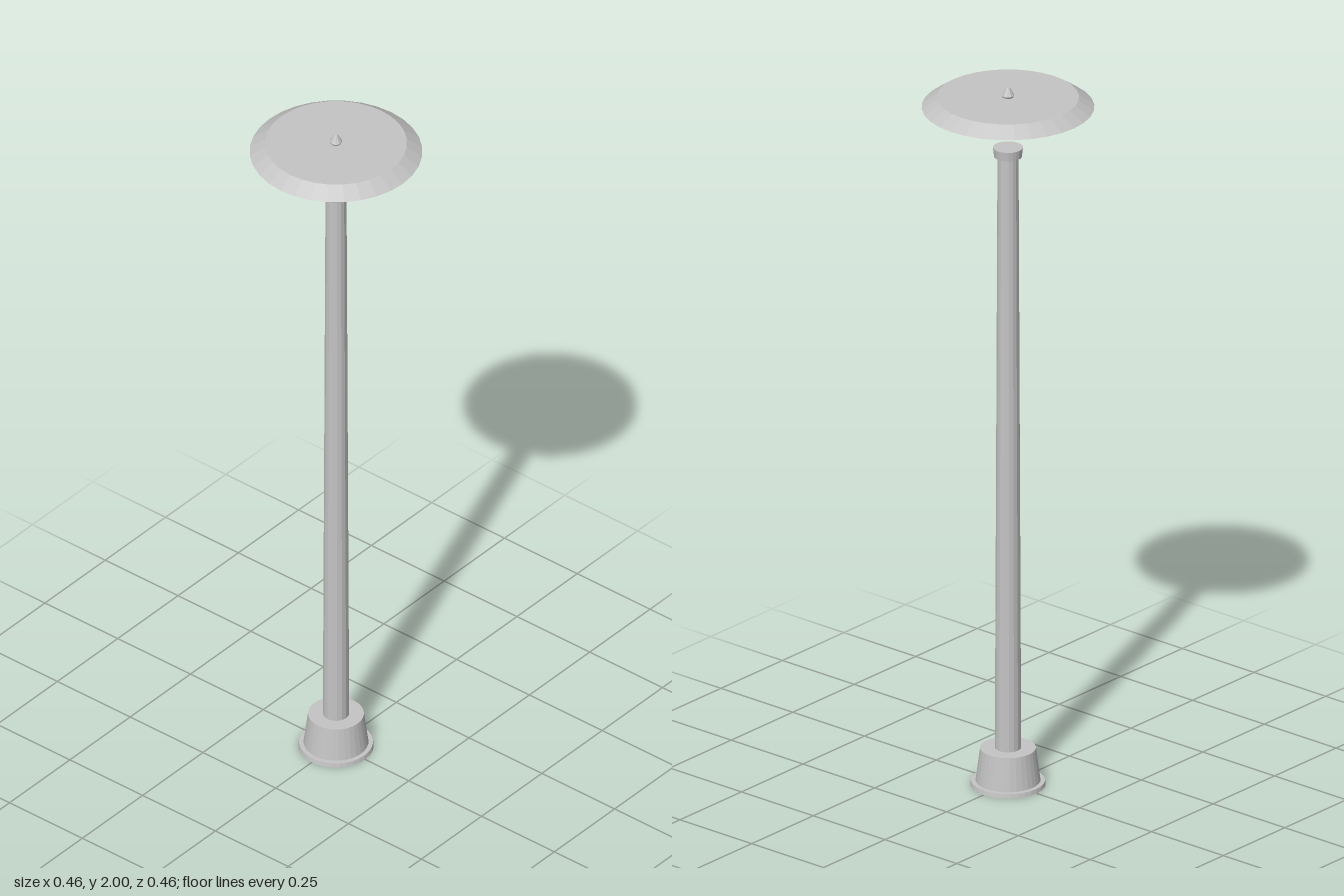
import * as THREE from 'three';

export function createModel() {
  const group = new THREE.Group();
  const metal = new THREE.MeshStandardMaterial({ color: 0xc4c4c4, flatShading: true });
  metal.name = 'grey metal';

  // Tapered round part standing between two heights
  function tapered(name, y0, y1, r0, r1, sides) {
    const mesh = new THREE.Mesh(new THREE.CylinderGeometry(r1, r0, y1 - y0, sides), metal);
    mesh.name = name;
    mesh.position.y = (y0 + y1) / 2;
    group.add(mesh);
  }

  // Foot and pole
  tapered('footPlate', 0, 0.012, 0.1, 0.098, 32);
  tapered('footCone', 0.012, 0.105, 0.086, 0.074, 32);
  tapered('pole', 0.105, 1.802, 0.035, 0.028, 16);
  tapered('collar', 1.802, 1.828, 0.037, 0.04, 24);

  // Shade floating above the collar
  tapered('shade', 1.944, 1.972, 0.229, 0.188, 32);

  // Drop-shaped finial
  const profile = [[0, 1.972], [0.014, 1.972], [0.017, 1.977], [0.012, 1.986], [0.005, 1.999], [0, 2]]
    .map(([r, y]) => new THREE.Vector2(r, y));
  const finial = new THREE.Mesh(new THREE.LatheGeometry(profile, 10), metal);
  finial.name = 'finial';
  group.add(finial);

  return group;
}
